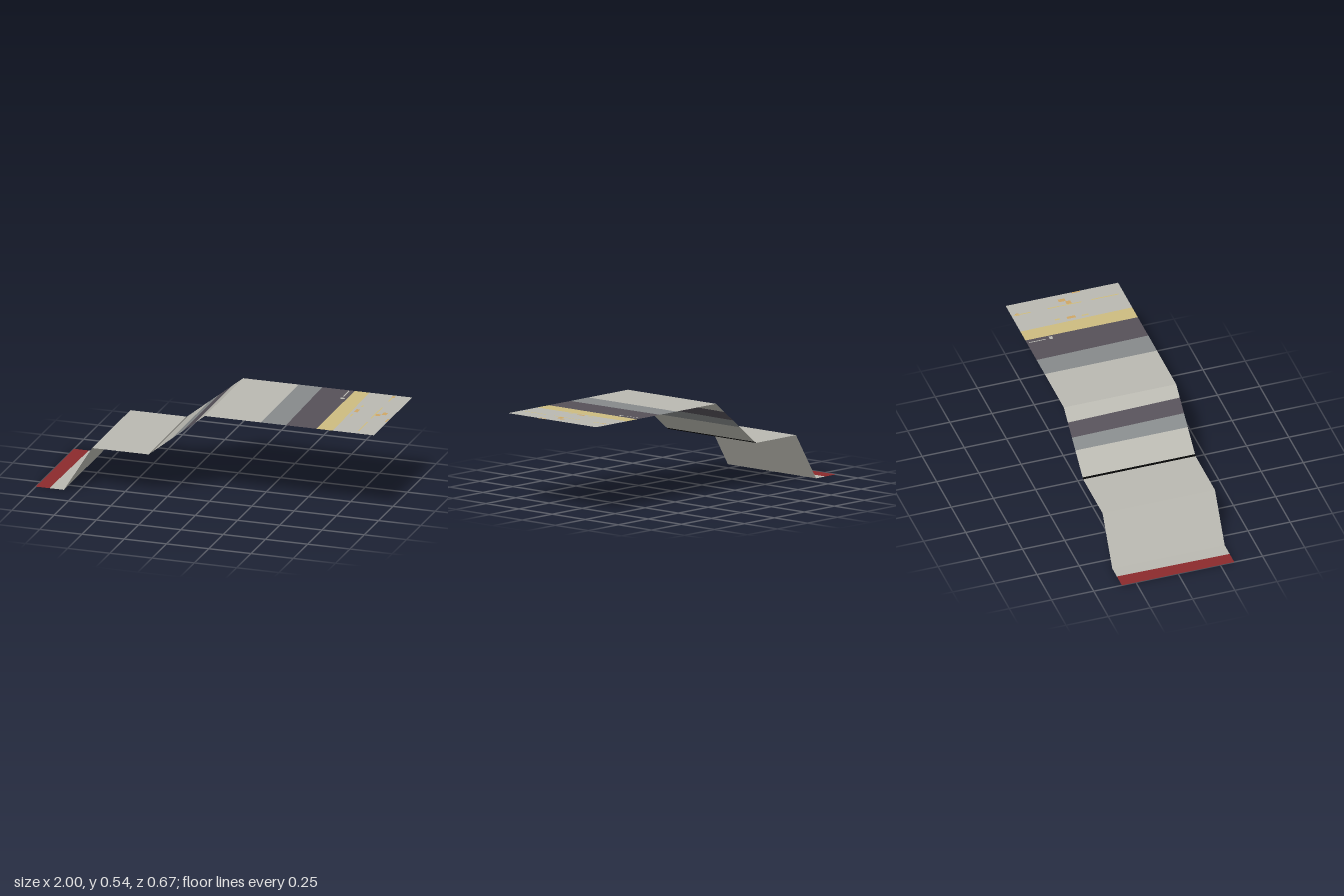
import * as THREE from 'three';

const HALF = 0.333;

// Side profile of the folded sheet, [x, y]
const PROFILE = [[-1, 0], [-0.834, 0], [-0.667, 0.268], [-0.333, 0.268], [0, 0.535], [1, 0.535]];

function heightAt(x) {
  for (let i = 1; i < PROFILE.length; i++) {
    const [x0, y0] = PROFILE[i - 1], [x1, y1] = PROFILE[i];
    if (x <= x1) return y0 + (y1 - y0) * (x - x0) / (x1 - x0);
  }
  return PROFILE[PROFILE.length - 1][1];
}

function material(name, color) {
  const m = new THREE.MeshStandardMaterial({ color, side: THREE.DoubleSide });
  m.name = name;
  return m;
}

// Flat quad facing up; each end is [x at the back edge, x at the front edge]
function strip(name, start, end, mat, zBack = -HALF, zFront = HALF, lift = 0) {
  const corner = (x, z) => [x, heightAt(x) + lift, z];
  const geo = new THREE.BufferGeometry();
  geo.setAttribute('position', new THREE.Float32BufferAttribute([
    ...corner(start[0], zBack), ...corner(start[1], zFront),
    ...corner(end[1], zFront), ...corner(end[0], zBack),
  ], 3));
  geo.setIndex([0, 1, 2, 0, 2, 3]);
  geo.computeVertexNormals();
  const mesh = new THREE.Mesh(geo, mat);
  mesh.name = name;
  return mesh;
}

export function createModel() {
  const group = new THREE.Group();
  group.name = 'steppedSheet';

  const paleGrey = material('paleGrey', 0xbab9b1);
  const red = material('red', 0x8c2a2d);
  const black = material('black', 0x050505);
  const midGrey = material('midGrey', 0x868a8b);
  const darkPurple = material('darkPurple', 0x565159);
  const yellow = material('yellow', 0xcdbc80);
  const orange = material('orange', 0xcfa765);

  // Strips from the low end to the high end: name, material, end [back, front]
  const strips = [
    ['redEndBand', red, [-0.913, -0.92]],
    ['lowerLanding', paleGrey, [-0.834, -0.834]],
    ['lowerRamp', paleGrey, [-0.667, -0.667]],
    ['middleLanding', paleGrey, [-0.333, -0.333]],
    ['blackSeam', black, [-0.324, -0.324]],
    ['upperRampFoot', paleGrey, [-0.199, -0.199]],
    ['upperRampGreyBand', midGrey, [-0.14, -0.134]],
    ['upperRampDarkBand', darkPurple, [-0.07, -0.062]],
    ['upperRampTop', paleGrey, [0, 0]],
    ['upperLanding', paleGrey, [0.329, 0.331]],
    ['greyBand', midGrey, [0.468, 0.48]],
    ['darkBand', darkPurple, [0.66, 0.66]],
    ['yellowBand', yellow, [0.747, 0.757]],
    ['upperEnd', paleGrey, [1, 1]],
  ];
  let start = [-1, -1];
  for (const [name, mat, end] of strips) {
    group.add(strip(name, start, end, mat));
    start = end;
  }

  // Worn flecks: x, z, width, depth, material, shown on both faces
  const flecks = [
    [0.897, -0.27, 0.008, 0.1, yellow], [0.897, -0.02, 0.008, 0.2, yellow], [0.897, 0.22, 0.008, 0.16, yellow],
    [0.78, -0.02, 0.02, 0.05, orange], [0.785, -0.1, 0.012, 0.03, yellow], [0.775, 0.06, 0.012, 0.04, yellow],
    [0.945, -0.02, 0.025, 0.04, orange], [0.915, 0.01, 0.03, 0.03, orange], [0.992, 0.08, 0.01, 0.05, orange],
    [0.9, -0.3, 0.02, 0.02, orange], [0.636, -0.19, 0.025, 0.02, paleGrey], [0.632, -0.27, 0.006, 0.1, paleGrey],
  ];
  for (const [x, z, w, d, mat] of flecks) {
    for (const lift of [0.002, -0.002]) {
      group.add(strip('fleck', [x - w / 2, x - w / 2], [x + w / 2, x + w / 2], mat, z - d / 2, z + d / 2, lift));
    }
  }
  return group;
}
